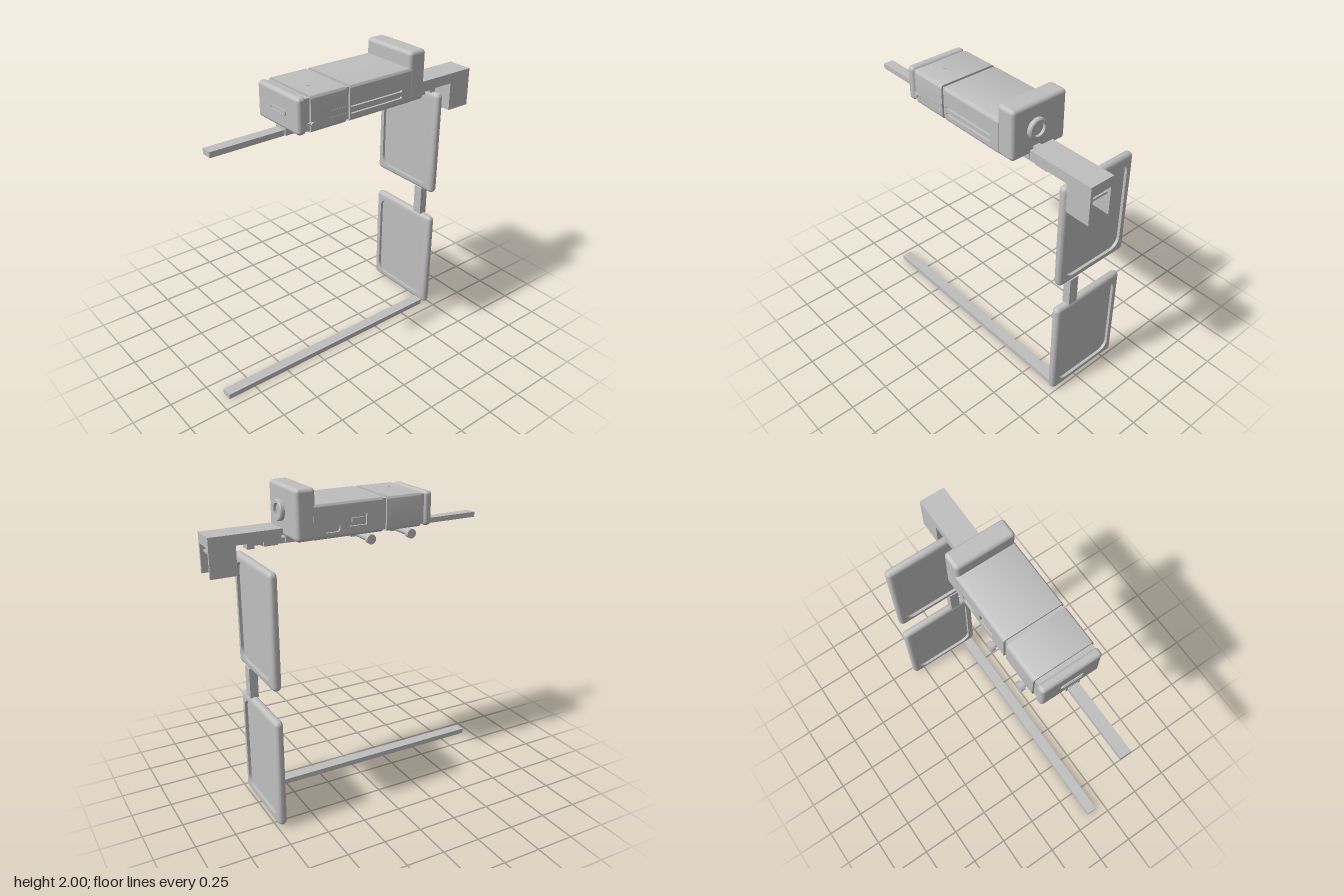
import * as THREE from 'three';
import { toCreasedNormals } from 'three/addons/utils/BufferGeometryUtils.js';
import { RoundedBoxGeometry } from 'three/addons/geometries/RoundedBoxGeometry.js';

const grey = new THREE.MeshStandardMaterial({ color: 0xbfbfbf });
grey.name = 'grey';

export function createModel() {
  const model = new THREE.Group();
  const add = (name, geometry) => {
    const mesh = new THREE.Mesh(geometry, grey);
    mesh.name = name;
    model.add(mesh);
    return mesh;
  };
  // Boxes are given by their limits on each axis
  const box = (name, x0, x1, y0, y1, z0, z1, r = 0) => {
    const s = [x1 - x0, y1 - y0, z1 - z0];
    const g = r ? new RoundedBoxGeometry(...s, 4, r) : new THREE.BoxGeometry(...s);
    return add(name, g.translate((x0 + x1) / 2, (y0 + y1) / 2, (z0 + z1) / 2));
  };
  const cylinder = (name, axis, r, length, x, y, z) => {
    const g = new THREE.CylinderGeometry(r, r, length, 32);
    if (axis === 'x') g.rotateZ(-Math.PI / 2);
    if (axis === 'z') g.rotateX(Math.PI / 2);
    return add(name, g.translate(x, y, z));
  };
  // Counter-clockwise rounded rectangle outline
  const roundRect = (w, h, r, cx = 0, cy = 0) => {
    const pts = [];
    for (let c = 0; c < 4; c++) {
      const sx = c === 0 || c === 3 ? 1 : -1, sy = c < 2 ? 1 : -1;
      for (let i = 0; i <= 6; i++) {
        const a = (c + i / 6) * Math.PI / 2;
        pts.push(new THREE.Vector2(cx + sx * (w / 2 - r) + r * Math.cos(a),
          cy + sy * (h / 2 - r) + r * Math.sin(a)));
      }
    }
    return pts;
  };

  // Long rails at the top and bottom
  box('bottomRail', -0.94, 0.69, 0, 0.035, 0.113, 0.182);
  box('topRail', -0.94, 0.6, 1.652, 1.686, 0.113, 0.182);
  box('railTongue', 0.6, 0.65, 1.66, 1.69, 0.113, 0.182);
  box('railEnd', 0.645, 0.69, 1.642, 1.69, 0.113, 0.182);
  box('railSocket', 0.5, 0.59, 1.65, 1.695, 0.1, 0.195);

  // Panels: rounded rim with a sunken sheet on both faces
  const panelGeometry = (w, h, half) => {
    const side = [[0.047, 0.065, half - 0.019], [0.047, 0.065, half]];
    const profile = [...side];
    for (let i = 0; i <= 10; i++) {
      const t = Math.PI * (0.5 - i / 10);
      const inset = half * (1 - Math.cos(t));
      profile.push([inset, Math.max(0.006, 0.032 - inset), half * Math.sin(t)]);
    }
    side.reverse().forEach(([inset, r, d]) => profile.push([inset, r, -d]));
    const pos = [], index = [];
    profile.forEach(([inset, r, d]) => roundRect(w - 2 * inset, h - 2 * inset, r)
      .forEach(p => pos.push(d, p.y, -p.x)));
    const n = 28, rows = profile.length, c0 = rows * n, c1 = c0 + 1;
    pos.push(profile[0][2], 0, 0, -profile[0][2], 0, 0);
    for (let j = 0; j < n; j++) {
      const k = (j + 1) % n;
      for (let i = 0; i < rows - 1; i++) {
        const a = i * n + j, b = i * n + k;
        index.push(a, a + n, b + n, a, b + n, b);
      }
      index.push(c0, j, k, c1, (rows - 1) * n + k, (rows - 1) * n + j);
    }
    const g = new THREE.BufferGeometry();
    g.setAttribute('position', new THREE.Float32BufferAttribute(pos, 3));
    g.setIndex(index);
    return toCreasedNormals(g, 0.6);
  };
  const panel = panelGeometry(0.545, 0.71, 0.0275);
  add('upperPanel', panel).position.set(0.718, 1.27, -0.0625);
  add('lowerPanel', panel).position.set(0.718, 0.37, -0.0625);
  box('panelPost', 0.691, 0.745, 0.72, 0.92, 0.05, 0.115);

  // Camera body: end cap, plain section and slotted section with grooves between
  box('rearCap', -0.47, -0.413, 1.69, 1.905, -0.07, 0.32, 0.022);
  box('grooveCore', -0.44, -0.1, 1.703, 1.892, -0.058, 0.308);
  box('head', 0.33, 0.455, 1.69, 2, -0.07, 0.32, 0.024);
  const section = (name, pts, x0, x1) => {
    const g = new THREE.ExtrudeGeometry(new THREE.Shape(pts),
      { depth: x1 - x0, bevelEnabled: false });
    add(name, toCreasedNormals(g.rotateY(Math.PI / 2).translate(x0, 0, 0), 0.6));
  };
  const outline = roundRect(0.39, 0.215, 0.02, -0.125, 1.7975);
  section('middleSection', outline, -0.387, -0.143);
  // The main section is notched on both sides to take the pierced side plates
  const lo = 1.712, hi = 1.883, dip = 0.015;
  const notch = (u, d, a, b) => [[u, a], [u + d, a], [u + d, b], [u, b]]
    .map(p => new THREE.Vector2(...p));
  section('mainSection', [
    ...outline.slice(0, 14), ...notch(-0.32, dip, hi, lo),
    ...outline.slice(14), ...notch(0.07, -dip, lo, hi),
  ], -0.117, 0.345);
  const sidePlate = (name, z, holes) => {
    const s = new THREE.Shape(roundRect(0.462, hi - lo, 0.0005, 0.114, (lo + hi) / 2));
    holes.forEach(h => s.holes.push(new THREE.Path(roundRect(...h))));
    add(name, new THREE.ExtrudeGeometry(s, { depth: dip, bevelEnabled: false }).translate(0, 0, z));
  };
  sidePlate('frontSidePlate', 0.305, [1.783, 1.742].map(y => [0.385, 0.015, 0.007, 0.083, y]));
  sidePlate('backSidePlate', -0.07, [[0.11, 0.05, 0.022, 0.227, 1.752], [0.12, 0.07, 0.006, 0.053, 1.785]]);
  box('backSocket', 0.015, 0.09, 1.773, 1.797, -0.066, -0.05);
  // Slots running on over the middle section
  for (const y of [1.783, 1.742]) box('slotTail', -0.265, -0.145, y - 0.007, y + 0.007, 0.318, 0.322);
  cylinder('sideButton', 'z', 0.012, 0.03, -0.38, 1.745, 0.32);
  box('sideLatch', -0.408, -0.35, 1.737, 1.753, 0.315, 0.323);
  cylinder('topButton', 'y', 0.01, 0.006, -0.3, 1.905, 0.175);

  // Raised slot frame on the rear cap
  const frame = new THREE.Shape(roundRect(0.15, 0.034, 0.016));
  frame.holes.push(new THREE.Path(roundRect(0.125, 0.014, 0.006)));
  const frameGeometry = new THREE.ExtrudeGeometry(frame, { depth: 0.008, bevelEnabled: false });
  add('rearSlot', frameGeometry.rotateY(-Math.PI / 2).translate(-0.469, 1.79, 0.13));

  // Lens with a sunken glass
  const lens = [[0, 0.012], [0.042, 0.012], [0.042, 0.03], [0.058, 0.03], [0.065, 0.024], [0.065, 0]]
    .reverse().map(p => new THREE.Vector2(...p));
  const lensGeometry = new THREE.LatheGeometry(lens, 40).rotateZ(-Math.PI / 2);
  add('lens', toCreasedNormals(lensGeometry, 0.5)).position.set(0.452, 1.845, 0.152);

  // Rail clamps with thumb screws
  for (const x of [-0.304, -0.02]) {
    box('railClamp', x - 0.048, x + 0.048, 1.645, 1.69, 0.07, 0.2);
    cylinder('screwShaft', 'z', 0.02, 0.16, x, 1.662, 0);
    cylinder('screwKnob', 'z', 0.03, 0.03, x, 1.662, -0.088);
  }
  box('bodyFoot', -0.468, -0.387, 1.655, 1.695, 0.1, 0.195);
  box('frontFoot', 0.33, 0.45, 1.655, 1.695, 0.1, 0.195);

  // Arm ending in an open hood that holds a slanted mirror
  box('armPin', 0.45, 0.5, 1.7, 1.738, 0.125, 0.17);
  box('arm', 0.493, 0.94, 1.69, 1.755, 0.063, 0.23);
  for (const z of [0.063, 0.214]) box('hoodCheek', 0.775, 0.94, 1.51, 1.692, z, z + 0.016);
  box('hoodBack', 0.775, 0.79, 1.51, 1.692, 0.07, 0.22);
  box('hoodShelf', 0.785, 0.92, 1.638, 1.652, 0.078, 0.216);
  box('hoodBlock', 0.785, 0.91, 1.65, 1.68, 0.1, 0.2);
  const wedge = new THREE.Shape([[0.788, 1.515], [0.9, 1.627], [0.788, 1.627]]
    .map(p => new THREE.Vector2(...p)));
  add('mirrorWedge', new THREE.ExtrudeGeometry(wedge, { depth: 0.105, bevelEnabled: false })
    .translate(0, 0, 0.098));

  return model;
}
